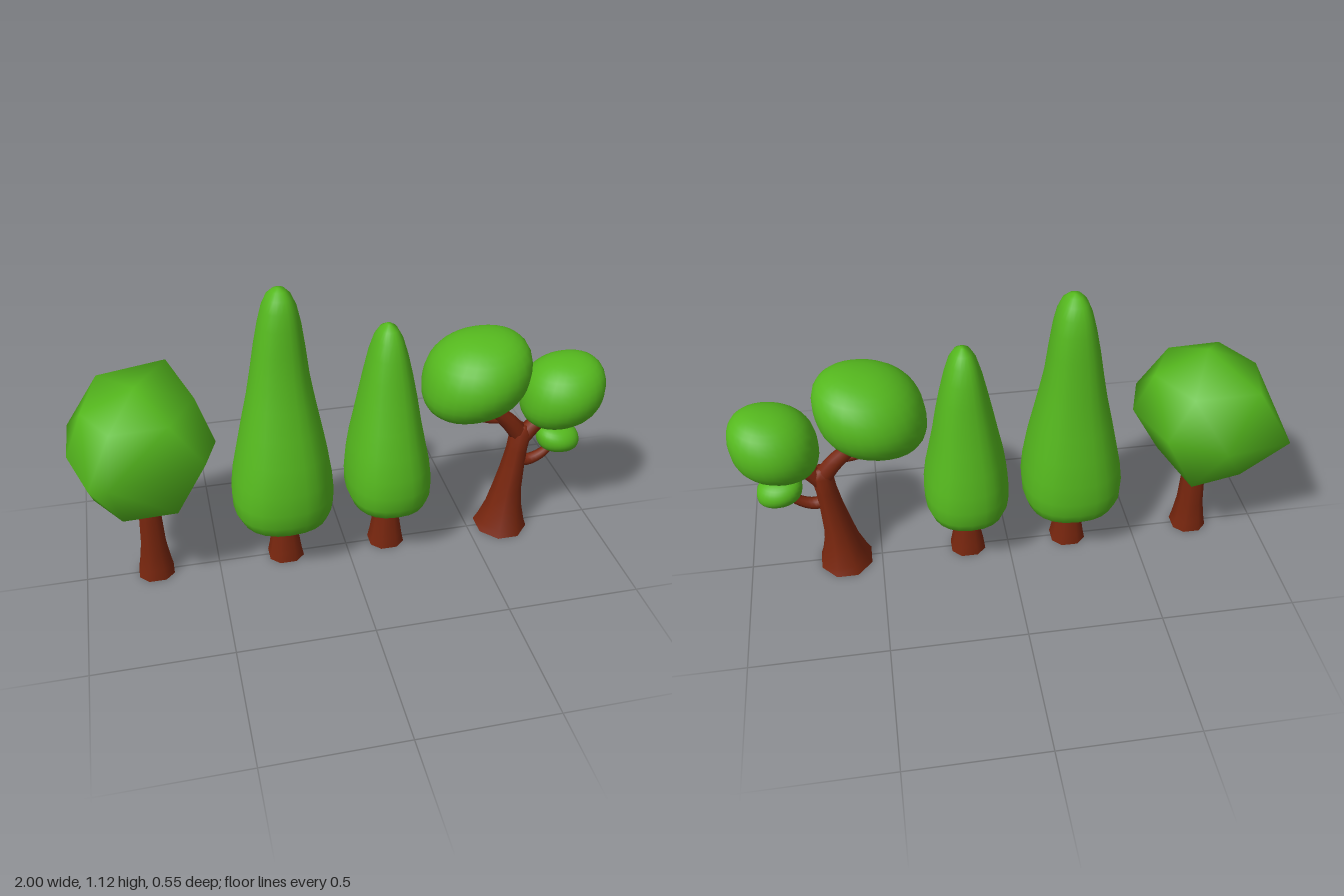
import * as THREE from 'three';
import { mergeVertices } from 'three/addons/utils/BufferGeometryUtils.js';
import { ConvexGeometry } from 'three/addons/geometries/ConvexGeometry.js';

const leaf = new THREE.MeshStandardMaterial({ color: 0x55b81e });
const bark = new THREE.MeshStandardMaterial({ color: 0x78260e });

function part(name, geometry, material) {
  const mesh = new THREE.Mesh(geometry, material);
  mesh.name = name;
  return mesh;
}

const bend = (v, n) => Math.sign(v) * Math.abs(v) ** (2 / n);

// Closed skin over stacked rings [y, cx, cz, rx, rz]; n > 2 squares the section
function loft(rings, sides, n = 2, turn = 0) {
  const pos = [], index = [];
  for (const [y, cx, cz, rx, rz] of rings) {
    for (let j = 0; j < sides; j++) {
      const a = turn + (j / sides) * Math.PI * 2;
      pos.push(cx + rx * bend(Math.cos(a), n), y, cz + rz * bend(Math.sin(a), n));
    }
  }
  const last = rings.length - 1, bottom = rings.length * sides, top = bottom + 1;
  for (const [y, cx, cz] of [rings[0], rings[last]]) pos.push(cx, y, cz);
  for (let j = 0; j < sides; j++) {
    const k = (j + 1) % sides;
    for (let i = 0; i < last; i++) {
      const a = i * sides, b = a + sides;
      index.push(a + j, b + j, a + k, a + k, b + j, b + k);
    }
    index.push(bottom, j, k, top, last * sides + k, last * sides + j);
  }
  const g = new THREE.BufferGeometry();
  g.setAttribute('position', new THREE.Float32BufferAttribute(pos, 3));
  g.setIndex(index);
  g.computeVertexNormals();
  return g;
}

// Trunk of a simple tree; the doubled first ring keeps the base edge sharp
function trunk(x, height) {
  const rings = [[0, 0.07], [0, 0.07], [0.04, 0.062], [0.12, 0.05], [height * 0.7, 0.043], [height - 0.015, 0.037], [height, 0.022]];
  return loft(rings.map(([y, r]) => [y, x, 0, r, r]), 8, 2.4, Math.PI / 8);
}

// Tapered branch along a curve
function branch(points, r0, r1, sides = 8) {
  const curve = new THREE.CatmullRomCurve3(points.map(p => new THREE.Vector3(...p)));
  const steps = 10, g = new THREE.TubeGeometry(curve, steps, 1, sides);
  const p = g.attributes.position, v = new THREE.Vector3();
  for (let i = 0; i < p.count; i++) {
    const t = Math.floor(i / (sides + 1)) / steps, c = curve.getPointAt(t);
    v.fromBufferAttribute(p, i).sub(c).multiplyScalar(r0 + (r1 - r0) * t).add(c);
    p.setXYZ(i, v.x, v.y, v.z);
  }
  return g;
}

// Puffy leaf clump: squared-off ellipsoid whose top leans along x
function clump([cx, cy, cz], [rx, ry, rz], n, lean, tilt) {
  let g = new THREE.SphereGeometry(1, 28, 18);
  g.deleteAttribute('uv');
  g.deleteAttribute('normal');
  g = mergeVertices(g);
  const p = g.attributes.position;
  for (let i = 0; i < p.count; i++) {
    const x = p.getX(i), y = p.getY(i), z = p.getZ(i);
    const s = (Math.abs(x) ** n + Math.abs(y) ** n + Math.abs(z) ** 2) ** (-1 / n);
    const X = x * s, Y = y * s;
    p.setXYZ(i, cx + rx * X + lean * Y, cy + ry * Y + tilt * X, cz + rz * z);
  }
  g.computeVertexNormals();
  return g;
}

function roundTree() {
  const tree = new THREE.Group();
  tree.name = 'roundTree';
  // Coarse, uneven faceted ball
  const corners = [
    [-0.74, 0.82, 0.02],
    [-0.93, 0.74, 0.02], [-0.84, 0.74, 0.18], [-0.64, 0.74, 0.17], [-0.54, 0.74, 0], [-0.62, 0.78, -0.23], [-0.87, 0.76, -0.2],
    [-1, 0.55, -0.23], [-1, 0.56, 0], [-0.93, 0.54, 0.2], [-0.86, 0.58, 0.27], [-0.53, 0.58, 0.18],
    [-0.48, 0.57, 0.03], [-0.55, 0.58, -0.2], [-0.75, 0.56, -0.28],
    [-0.93, 0.36, 0], [-0.83, 0.4, 0.2], [-0.64, 0.39, 0.18], [-0.58, 0.4, 0], [-0.66, 0.36, -0.2], [-0.85, 0.38, -0.18],
    [-0.74, 0.305, 0],
  ].map(c => new THREE.Vector3(...c));
  let ball = new ConvexGeometry(corners);
  ball.deleteAttribute('normal');
  ball = mergeVertices(ball);
  ball.computeVertexNormals();
  tree.add(part('roundCrown', ball, leaf), part('roundTrunk', trunk(-0.74, 0.37), bark));
  return tree;
}

function coneTree(name, rings, x) {
  const tree = new THREE.Group();
  tree.name = name;
  tree.add(part('coneCrown', loft(rings, 24, 2.4), leaf), part('coneTrunk', trunk(x, 0.27), bark));
  return tree;
}

function branchingTree() {
  const tree = new THREE.Group();
  tree.name = 'branchingTree';
  // Flared trunk that leans towards the fork
  const stem = [
    [0, 0.638, 0, 0.105, 0.115], [0, 0.638, 0, 0.105, 0.115], [0.03, 0.641, 0, 0.092, 0.1], [0.1, 0.648, 0, 0.07, 0.078],
    [0.18, 0.656, 0, 0.056, 0.063], [0.27, 0.669, 0, 0.046, 0.052], [0.36, 0.681, 0, 0.04, 0.044],
    [0.43, 0.69, 0, 0.042, 0.042], [0.46, 0.69, 0, 0.025, 0.025],
  ];
  tree.add(
    part('flaredTrunk', loft(stem, 8, 2, Math.PI / 8), bark),
    part('leftBranch', branch([[0.69, 0.4, 0], [0.755, 0.47, 0], [0.83, 0.53, 0]], 0.036, 0.024), bark),
    part('rightBranch', branch([[0.695, 0.41, 0], [0.64, 0.48, 0], [0.58, 0.54, 0], [0.53, 0.62, 0]], 0.038, 0.023), bark),
    part('rightTwig', branch([[0.62, 0.5, 0], [0.56, 0.505, 0], [0.51, 0.525, 0], [0.49, 0.57, 0]], 0.021, 0.014), bark),
    part('lowBranch', branch([[0.67, 0.31, 0], [0.73, 0.295, 0], [0.79, 0.32, 0], [0.83, 0.365, 0]], 0.027, 0.016), bark),
    part('largeClump', clump([0.492, 0.706, -0.005], [0.195, 0.163, 0.205], 2.5, 0.025, 0.015), leaf),
    part('mediumClump', clump([0.842, 0.595, -0.005], [0.155, 0.14, 0.16], 2.5, 0.012, 0.015), leaf),
    part('smallClump', clump([0.848, 0.382, -0.007], [0.083, 0.056, 0.077], 2.6, -0.006, -0.004), leaf),
  );
  return tree;
}

export function createModel() {
  const model = new THREE.Group();
  model.name = 'treeRow';
  const tall = [
    [0.178, -0.242, 0, 0.09, 0.09], [0.188, -0.242, 0, 0.135, 0.14], [0.215, -0.243, 0, 0.167, 0.172],
    [0.26, -0.245, 0, 0.186, 0.19], [0.32, -0.244, 0, 0.189, 0.196], [0.4, -0.242, 0, 0.181, 0.191],
    [0.5, -0.239, -0.003, 0.163, 0.175], [0.6, -0.238, -0.008, 0.143, 0.152], [0.7, -0.236, -0.014, 0.122, 0.132],
    [0.8, -0.235, -0.02, 0.104, 0.113], [0.9, -0.232, -0.023, 0.09, 0.1], [0.99, -0.229, -0.023, 0.075, 0.088],
    [1.05, -0.228, -0.022, 0.061, 0.074], [1.09, -0.228, -0.02, 0.044, 0.055], [1.112, -0.228, -0.02, 0.024, 0.03], [1.12, -0.228, -0.02, 0.006, 0.008],
  ];
  const small = [
    [0.2, 0.16, 0, 0.08, 0.09], [0.208, 0.16, 0, 0.115, 0.14], [0.23, 0.16, 0, 0.142, 0.172],
    [0.27, 0.16, 0, 0.157, 0.19], [0.33, 0.16, 0, 0.159, 0.195], [0.4, 0.158, 0, 0.152, 0.188],
    [0.48, 0.156, -0.003, 0.138, 0.172], [0.57, 0.157, -0.008, 0.12, 0.15], [0.66, 0.159, -0.013, 0.104, 0.128],
    [0.75, 0.16, -0.017, 0.086, 0.108], [0.83, 0.16, -0.02, 0.068, 0.09], [0.89, 0.16, -0.02, 0.05, 0.067],
    [0.925, 0.16, -0.02, 0.031, 0.042], [0.943, 0.16, -0.02, 0.008, 0.012],
  ];
  model.add(roundTree(), coneTree('tallConeTree', tall, -0.24), coneTree('smallConeTree', small, 0.16), branchingTree());
  return model;
}
